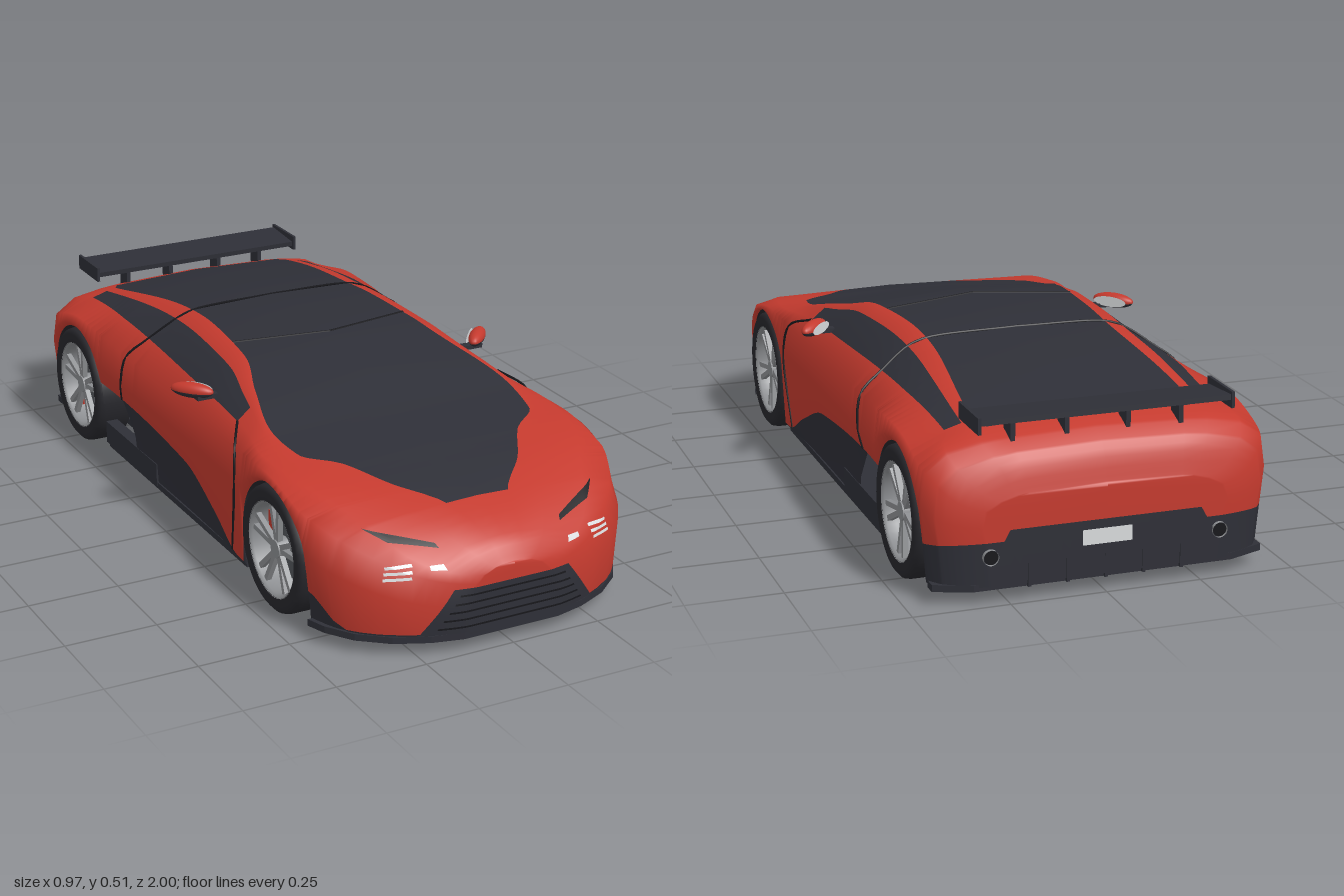
import * as THREE from 'three';

const mat = (name, color) => new THREE.MeshStandardMaterial({ name, color, side: THREE.DoubleSide });
const red = mat('red paint', 0xc43a2e);
const dark = mat('dark panel', 0x2e2f37);
const seamMat = mat('seam black', 0x17171b);
const rubber = mat('tyre rubber', 0x27272c);
const metal = mat('wheel grey', 0x8d8f92);
const discMat = mat('brake grey', 0x54575b);
const light = mat('lamp white', 0xd9dbdd);

// Roof centre line and side heights, [z, y] from rear to front
const ROOF = [[-.99, .28], [-.97, .35], [-.93, .395], [-.8, .435], [-.4, .497], [-.2, .51], [0, .505], [.2, .475], [.4, .422], [.6, .376], [.8, .33], [.9, .295], [.96, .26], [.99, .22]];
const SHOULDER = [[-.99, .24], [-.93, .325], [-.7, .385], [0, .355], [.5, .368], [.7, .332], [.87, .26], [.99, .18]];
const WIDEST = [[-.99, .2], [-.85, .28], [.5, .28], [.85, .2], [.99, .13]];
const PAINT_EDGE = [[-.99, .16], [-.9, .15], [-.55, .235], [0, .2], [.2, .125], [.34, .06], [.39, .06], [.74, .13], [.84, .06]];
// Canopy edge: [z, x, drop below the roof]
const CANOPY = [[-.99, .2, .005], [-.86, .265, .01], [-.82, .285, .013], [-.35, .25, .008], [.05, .275, .012], [.2, .32, .023],
  [.38, .36, .02], [.5, .345, .012], [.58, .26, .004], [.7, .185, .002], [.81, .09, .003], [.99, .03, .002]];
// Belt line: [z, inset from the plan outline, y]
const BELT = [[-.99, .05, .26], [-.95, .06, .345], [-.88, .08, .388], [-.82, .1, .4], [-.5, .082, .425], [0, .06, .412],
  [.3, .055, .396], [.45, .035, .383], [.6, .05, .371], [.8, .113, .315], [.99, .06, .2]];
const AXLES = [.56, -.73], AXLE_Y = .17, ARCH = .178;

// Monotone cubic interpolation of one column of a line
function sample(p, k, z) {
  const n = p.length - 1;
  if (z <= p[0][0]) return p[0][k];
  if (z >= p[n][0]) return p[n][k];
  let i = 0;
  while (z > p[i + 1][0]) i++;
  const d = j => (p[j + 1][k] - p[j][k]) / (p[j + 1][0] - p[j][0]);
  const m = j => j <= 0 ? d(0) : j >= n ? d(n - 1) : d(j - 1) * d(j) > 0 ? 2 * d(j - 1) * d(j) / (d(j - 1) + d(j)) : 0;
  const h = p[i + 1][0] - p[i][0], t = (z - p[i][0]) / h, s = 1 - t;
  return p[i][k] * (1 + 2 * t) * s * s + m(i) * h * t * s * s + p[i + 1][k] * (3 - 2 * t) * t * t - m(i + 1) * h * t * t * s;
}

// Half width seen from above: rounded nose, squarer tail, slight waist
function plan(z) {
  const round = (t, n) => t > 0 ? Math.pow(1 - Math.pow(t, n), 1 / n) : 1;
  const waist = .01 * Math.max(0, 1 - ((z + .05) / .5) ** 2);
  return .46 * round((z - .66) / .34, 2.3) * round((-z - .84) / .16, 4) - waist;
}

// Half cross-section [x, y] from roof centre to skirt, with wheel arches cut
function section(z) {
  const p = plan(z), top = sample(ROOF, 1, z);
  const canopy = [sample(CANOPY, 1, z), top - sample(CANOPY, 2, z)];
  const belt = [p - sample(BELT, 1, z), sample(BELT, 2, z)];
  const rail = [canopy[0] + .4 * (belt[0] - canopy[0]), canopy[1] + .25 * (belt[1] - canopy[1])];
  const shoulder = [p - .012 - .028 * THREE.MathUtils.clamp((z - .7) / .17, 0, 1), sample(SHOULDER, 1, z)];
  const edge = [p - .01, sample(PAINT_EDGE, 1, z)];
  for (const c of AXLES) {
    const q = ARCH * ARCH - (z - c) ** 2;
    if (q > -1e-7) edge[1] = Math.max(edge[1], AXLE_Y + Math.sqrt(Math.max(q, 0)));
  }
  const wide = [p, Math.max(sample(WIDEST, 1, z), edge[1] + .35 * (shoulder[1] - edge[1]))];
  const skirt = [edge[0] - .01, z < -.33 && z > -.5 ? Math.min(edge[1], .11 + (-.33 - z) * 1.25) : .047];
  return [[0, top], canopy, rail, belt, shoulder, wide, edge, skirt];
}

// z of the nose (dir 1) or tail (dir -1) surface at a given x and y
function surfaceZ(x, y, dir) {
  const wide = z => {
    const s = section(z);
    if (y > s[0][1]) return -1;
    for (let i = 0; i < 7; i++) {
      if (y <= s[i][1] && y >= s[i + 1][1]) {
        const t = (s[i][1] - y) / (s[i][1] - s[i + 1][1] || 1);
        return s[i][0] + t * (s[i + 1][0] - s[i][0]);
      }
    }
    return s[7][0];
  };
  let lo = dir > 0 ? .76 : .92, hi = .99;
  if (wide(hi * dir) >= x) return hi * dir;
  for (let i = 0; i < 25; i++) {
    const mid = (lo + hi) / 2;
    if (wide(mid * dir) >= x) lo = mid; else hi = mid;
  }
  return lo * dir;
}

function bodyShell() {
  // stations: even spacing, closer at both ends, at colour breaks and round the arches
  const raw = [-.86, -.82, -.42, -.33, .25, .81];
  for (let z = -.95; z < .95; z += .03) raw.push(z);
  for (let i = 0; i <= 6; i++) raw.push(.99 - .001 * i * i, -.99 + .001 * i * i);
  for (const c of AXLES) {
    for (let a = 0; a <= 20; a++) raw.push(c + ARCH * Math.cos(a * Math.PI / 20));
    raw.push(c + ARCH + .003, c - ARCH - .003);
  }
  const zs = raw.sort((a, b) => a - b).filter((z, i, l) => !i || z - l[i - 1] > 5e-4);
  const rows = zs.map(z => ({ z, s: section(z) }));
  // flat end faces: the end sections drawn in to the centre line
  const end = (r, dz) => ({ z: r.z + dz, s: r.s.map(p => [0, p[1]]) });
  rows.unshift(end(rows[0], -.004));
  rows.push(end(rows[rows.length - 1], .004));
  const pos = [], paint = [], black = [];
  rows.forEach(r => { for (let j = -7; j <= 7; j++) pos.push(Math.sign(j) * r.s[Math.abs(j)][0], r.s[Math.abs(j)][1], r.z); });
  for (let i = 0; i < rows.length - 1; i++) {
    const z = (rows[i].z + rows[i + 1].z) / 2;
    for (let j = 0; j < 14; j++) {
      const strip = j < 7 ? 6 - j : j - 7;
      if (strip === 6 && (AXLES.some(c => Math.abs(z - c) < ARCH) || (z < -.42 && z > -.56))) continue;
      const isDark = strip === 6 || (strip === 0 && z > -.86 && z < .81) || (strip === 2 && z > -.82 && z < .25);
      const a = i * 15 + j, c = a + 15;
      (isDark ? black : paint).push(a, c, a + 1, a + 1, c, c + 1);
    }
  }
  const g = new THREE.BufferGeometry();
  g.setAttribute('position', new THREE.Float32BufferAttribute(pos, 3));
  g.setIndex([...paint, ...black]);
  g.addGroup(0, paint.length, 0);
  g.addGroup(paint.length, black.length, 1);
  g.computeVertexNormals();
  return new THREE.Mesh(g, [red, dark]);
}

function add(parent, name, geometry, material, x = 0, y = 0, z = 0) {
  const m = new THREE.Mesh(geometry, material);
  m.name = name;
  m.position.set(x, y, z);
  parent.add(m);
  return m;
}
const box = (w, h, d) => new THREE.BoxGeometry(w, h, d);

// Thin plate lying on the nose or tail; q = four [x, y] corners, made on both sides
function patch(parent, name, q, material, dir, off) {
  for (const sx of [1, -1]) {
    const g = new THREE.PlaneGeometry(1, 1, 12, 4), p = g.attributes.position;
    for (let i = 0; i < p.count; i++) {
      const u = p.getX(i) + .5, v = p.getY(i) + .5;
      const at = k => (q[0][k] * (1 - u) + q[1][k] * u) * (1 - v) + (q[3][k] * (1 - u) + q[2][k] * u) * v;
      p.setXYZ(i, sx * at(0), at(1), surfaceZ(at(0), at(1), dir) + dir * off);
    }
    if (sx * dir < 0) g.setIndex([...g.index.array].reverse());
    g.computeVertexNormals();
    add(parent, name, g, material);
  }
}

// Panel gap following [line index, z] pairs, on both sides
function seam(parent, name, list) {
  for (const sx of [1, -1]) {
    const pts = list.map(([i, z]) => { const p = section(z)[i]; return new THREE.Vector3(sx * p[0], p[1], z); });
    add(parent, name, new THREE.TubeGeometry(new THREE.CatmullRomCurve3(pts), 24, .0035, 5), seamMat);
  }
}

// Wheel with its axis on y, outer face at +y
function wheel() {
  const w = new THREE.Group();
  const lathe = pts => new THREE.LatheGeometry(pts.map(p => new THREE.Vector2(...p)), 40);
  add(w, 'tyre', lathe([[.126, -.05], [.155, -.055], [.167, -.045], [.17, -.03], [.17, .03], [.167, .045], [.155, .055], [.126, .05]]), rubber);
  add(w, 'rim', lathe([[.122, -.05], [.118, .02], [.118, .044], [.128, .051]]), metal);
  add(w, 'brakeDisc', new THREE.CylinderGeometry(.085, .085, .012, 32), discMat, 0, -.005, 0);
  add(w, 'hub', new THREE.CylinderGeometry(.024, .03, .03, 20), metal, 0, .025, 0);
  for (let i = 0; i < 10; i++) {
    const arm = new THREE.Group();
    arm.rotation.y = Math.floor(i / 2) * Math.PI * .4 + (i % 2 ? .17 : -.17);
    add(arm, 'spoke', box(.104, .014, .014), metal, .068, .032, 0).rotation.z = .06;
    w.add(arm);
  }
  return w;
}

export function createModel() {
  const car = new THREE.Group();
  const body = bodyShell();
  body.name = 'bodyShell';
  car.add(body);

  // panel gaps
  seam(car, 'roofAndDoorGap', [[0, -.345], [1, -.345], [2, -.345], [3, -.365], [4, -.385], [5, -.4], [6, -.415]]);
  seam(car, 'doorFrontGap', [[3, .25], [4, .33], [5, .35], [6, .31]]);
  seam(car, 'windscreenTopGap', [[0, .012], [1, -.05]]);

  // nose: grille, slats, headlights
  patch(car, 'grille', [[0, .052], [.25, .06], [.165, .175], [0, .175]], dark, 1, .005);
  for (let i = 0; i < 5; i++) {
    const y = .072 + i * .021, x = .21 - i * .014;
    patch(car, 'grilleSlat', [[0, y], [x, y], [x - .003, y + .005], [0, y + .005]], seamMat, 1, .008);
  }
  patch(car, 'headlightSlit', [[.175, .266], [.29, .283], [.335, .308], [.18, .275]], seamMat, 1, .007);
  for (let i = 0; i < 3; i++) {
    const y = .236 - i * .014, x = .255 + i * .004;
    patch(car, 'runningLamp', [[x, y], [x + .065, y - .004], [x + .065, y + .003], [x, y + .007]], light, 1, .008);
  }
  patch(car, 'innerLamp', [[.175, .224], [.215, .226], [.215, .236], [.18, .237]], light, 1, .008);

  // tail: dark centre, number plate, exhausts, diffuser fins
  patch(car, 'rearPanel', [[0, .1], [.3, .1], [.25, .19], [0, .19]], dark, -1, .005);
  patch(car, 'rearPlate', [[0, .128], [.065, .128], [.065, .168], [0, .168]], light, -1, .009);
  for (const sx of [1, -1]) {
    add(car, 'exhaust', new THREE.CylinderGeometry(.02, .02, .05, 20, 1, true), metal, sx * .3, .125, -.975).rotation.x = Math.PI / 2;
    add(car, 'exhaustBore', new THREE.CircleGeometry(.018, 20), seamMat, sx * .3, .125, -.997);
  }
  for (let i = -2; i <= 2; i++) add(car, 'diffuserFin', box(.008, .065, .13), dark, i * .1, .07, -.93);

  // floor with wheel notches
  const half = [.99, .97, .93, .87, .8, .745].map(z => [plan(z) - .005, z]);
  for (const c of AXLES) half.push([.32, c + .185], [.32, c - .185], [.435, c - .185], [.435, c > 0 ? -.545 : -.95]);
  half.push([.34, -.985]);
  const outline = [...half, ...half.map(([x, z]) => [-x, z]).reverse()].map(p => new THREE.Vector2(...p));
  const floor = new THREE.ExtrudeGeometry(new THREE.Shape(outline), { depth: .018, bevelEnabled: false });
  add(car, 'floor', floor.rotateX(Math.PI / 2), dark, 0, .055, 0);
  for (const sx of [1, -1]) add(car, 'sill', box(.035, .065, .36), dark, sx * .42, .078, -.38);

  // wheels, arch liners, brake calipers
  for (const sx of [1, -1]) {
    for (const z of AXLES) {
      const w = wheel();
      w.name = z > 0 ? 'frontWheel' : 'rearWheel';
      w.rotation.z = -sx * Math.PI / 2;
      w.position.set(sx * .405, AXLE_Y, z);
      car.add(w);
      const liner = new THREE.CylinderGeometry(.181, .181, .13, 28, 1, true, 0, Math.PI);
      add(car, 'archLiner', liner, rubber, sx * .383, AXLE_Y, z).rotation.z = Math.PI / 2;
      const wall = new THREE.CircleGeometry(.181, 28, 0, Math.PI);
      add(car, 'archWall', wall, rubber, sx * .318, AXLE_Y, z).rotation.y = Math.PI / 2;
      add(car, 'brakeCaliper', box(.03, .06, .035), red, sx * .408, z > 0 ? .215 : .115, z - .06);
    }
  }

  // rear wing
  const wing = new THREE.Group();
  wing.name = 'rearWing';
  add(wing, 'wingBlade', box(.65, .014, .13), dark, 0, .458, -.922).rotation.x = .08;
  for (const sx of [1, -1]) {
    add(wing, 'wingEndPlate', box(.008, .042, .145), dark, sx * .328, .457, -.92);
    for (const x of [.08, .22]) add(wing, 'wingSupport', box(.012, .07, .05), dark, sx * x, .42, -.9);
  }
  car.add(wing);

  // door mirrors: red cap, dark underside, glass at the back
  for (const sx of [1, -1]) {
    const mirror = new THREE.Group();
    mirror.name = 'doorMirror';
    const shell = (from, span) => new THREE.SphereGeometry(1, 24, 12, 0, Math.PI * 2, from, span).scale(.062, .021, .022);
    add(mirror, 'mirrorCap', shell(0, Math.PI * .55), red);
    add(mirror, 'mirrorUnderside', shell(Math.PI * .55, Math.PI * .45), dark);
    add(mirror, 'mirrorGlass', new THREE.CircleGeometry(1, 24).scale(.05, .015, 1), light, 0, 0, -.0225);
    mirror.position.set(sx * .442, .43, .065);
    mirror.rotation.y = sx * .85;
    car.add(mirror);
    add(car, 'mirrorStalk', box(.06, .012, .025), dark, sx * .41, .414, .085);
  }
  return car;
}
